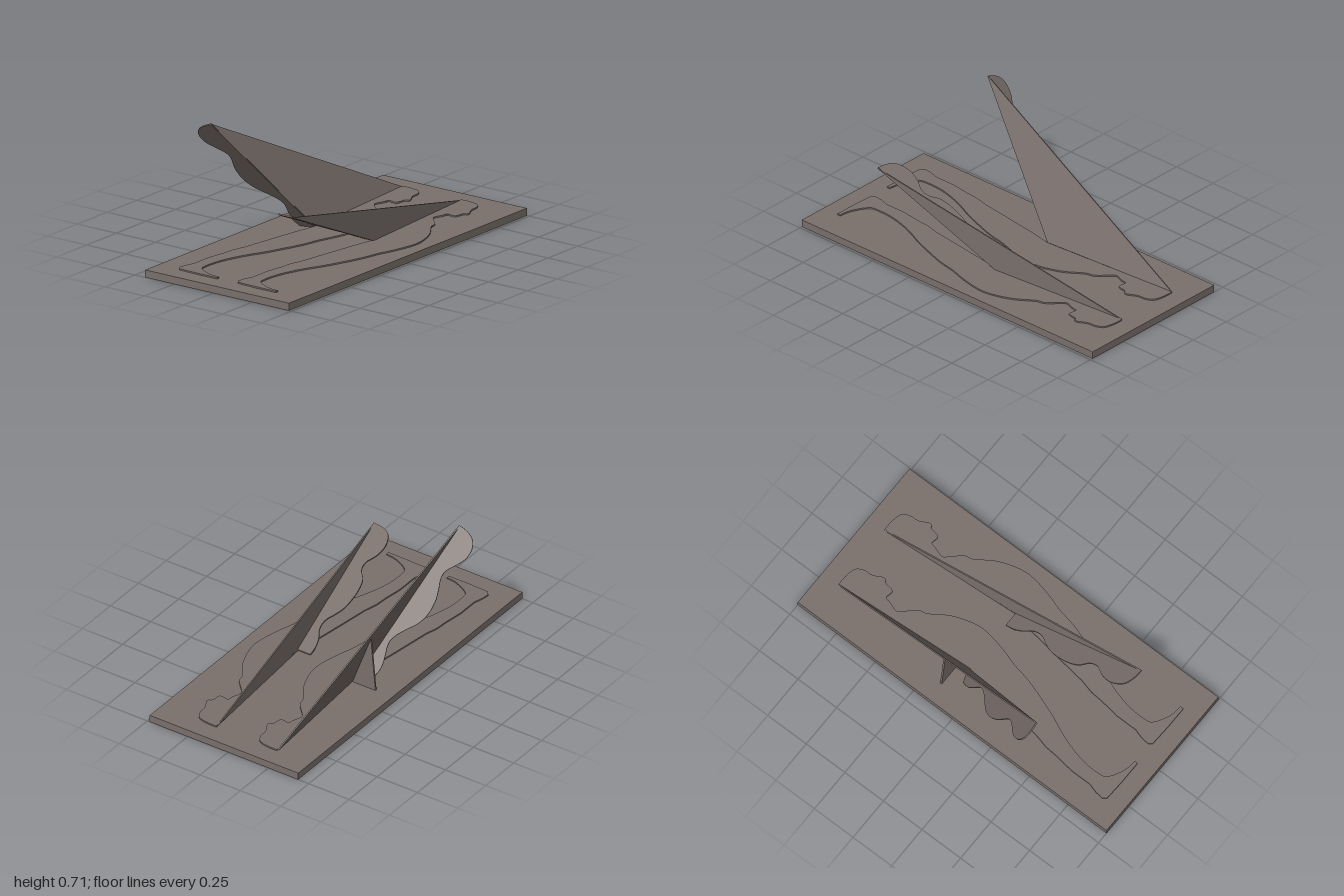
import * as THREE from 'three';

const V = (x, y, z) => new THREE.Vector3(x, y, z);

// Thin plate: a 2D shape laid out on the skewed axes u and v from an origin
function plate(name, shape, origin, u, v, thickness, material) {
  const geometry = new THREE.ExtrudeGeometry(shape, { depth: thickness, bevelEnabled: false, curveSegments: 4 });
  geometry.translate(0, 0, -thickness / 2);
  const n = u.clone().cross(v).normalize();
  geometry.applyMatrix4(new THREE.Matrix4().makeBasis(u, v, n).setPosition(origin));
  const mesh = new THREE.Mesh(geometry, material);
  mesh.name = name;
  return mesh;
}

// Smooth curve through the points, then straight corners back to the start
function outline(curve, corners) {
  const shape = new THREE.Shape();
  shape.moveTo(...curve[0]);
  shape.splineThru(curve.slice(1).map(p => new THREE.Vector2(...p)));
  corners.forEach(p => shape.lineTo(...p));
  shape.closePath();
  return shape;
}

export function createModel() {
  const model = new THREE.Group();
  const stone = new THREE.MeshStandardMaterial({ color: 0x7a706c });
  stone.name = 'warm grey';

  // Base slab
  const base = new THREE.Mesh(new THREE.BoxGeometry(0.92, 0.04, 2), stone);
  base.name = 'base';
  base.position.set(0.025, 0.02, 0);
  model.add(base);

  // Flat standing figure in profile, as [x, z], used twice
  const figure = outline([
    [0.145, -0.895], [0.2, -0.895], [0.26, -0.88], [0.285, -0.84], [0.29, -0.79], [0.315, -0.74],
    [0.312, -0.72], [0.297, -0.71], [0.29, -0.665], [0.275, -0.655], [0.237, -0.66], [0.23, -0.63],
    [0.213, -0.58], [0.225, -0.555], [0.285, -0.49], [0.3, -0.44], [0.36, -0.35], [0.395, -0.26],
    [0.41, -0.18], [0.403, -0.1], [0.38, 0], [0.355, 0.08], [0.335, 0.18], [0.3, 0.29],
    [0.26, 0.4], [0.215, 0.5], [0.18, 0.6], [0.16, 0.7], [0.16, 0.8], [0.18, 0.83],
    [0.22, 0.855], [0.27, 0.875], [0.325, 0.882]
  ], [
    [0.325, 0.9], [0.2, 0.9], [0.08, 0.895], [0.065, 0.875], [0.07, 0.83], [0.085, 0.78],
    [0.085, 0.66], [0.1, 0.55], [0.105, 0.48], [0.125, 0.4], [0.145, 0.25], [0.175, 0.04], [0.2, -0.09]
  ]);
  [0, -0.376].forEach((x, i) => model.add(plate(
    i ? 'rightFlatFigure' : 'leftFlatFigure', figure, V(x, 0.0435, 0), V(1, 0, 0), V(0, 0, 1), 0.008, stone)));

  // Triangular sail from the head to the raised edge
  const triangle = outline([[0, 0], [1, 0]], [[0, 1]]);
  const sail = (name, apex, bottom, top) =>
    model.add(plate(name, triangle, apex, bottom.sub(apex), top.sub(apex), 0.007, stone));
  sail('rightSail', V(-0.235, 0.045, -0.89), V(-0.182, 0.045, -0.09), V(-0.387, 0.703, 0.508));
  sail('leftSail', V(0.145, 0.045, -0.89), V(0.205, 0.045, -0.08), V(0.261, 0.373, 0.68));

  // Wavy leaning silhouettes, drawn in x and y; z follows the lean of the plane
  const rightWave = outline([
    [-0.385, 0.705], [-0.44, 0.682], [-0.478, 0.65], [-0.489, 0.61], [-0.475, 0.57], [-0.44, 0.54],
    [-0.405, 0.512], [-0.395, 0.48], [-0.405, 0.43], [-0.41, 0.385], [-0.4, 0.33], [-0.37, 0.285],
    [-0.32, 0.25], [-0.28, 0.217], [-0.265, 0.185], [-0.27, 0.14], [-0.275, 0.1], [-0.27, 0.07], [-0.255, 0.043]
  ], [[-0.18, 0.043]]);
  model.add(plate('rightSilhouette', rightWave, V(0, 0, -0.187), V(1, 0, -0.34), V(0, 1, 0.803), 0.008, stone));

  const leftWave = outline([
    [0.262, 0.375], [0.2, 0.372], [0.15, 0.361], [0.125, 0.335], [0.135, 0.308], [0.165, 0.285],
    [0.16, 0.265], [0.12, 0.245], [0.105, 0.213], [0.112, 0.175], [0.135, 0.152], [0.165, 0.13],
    [0.165, 0.108], [0.135, 0.085], [0.122, 0.065], [0.122, 0.045]
  ], [[0.205, 0.045]]);
  model.add(plate('leftSilhouette', leftWave, V(0, 0, -0.193), V(1, 0, 0), V(0, 1, 2.328), 0.008, stone));

  // Upright fin propping the larger sail
  const fin = outline([[-0.33, 0.038], [-0.185, 0.038]], [[-0.302, 0.345]]);
  model.add(plate('supportFin', fin, V(0, 0, -0.155), V(1, 0, 0), V(0, 1, 0), 0.01, stone));

  return model;
}
